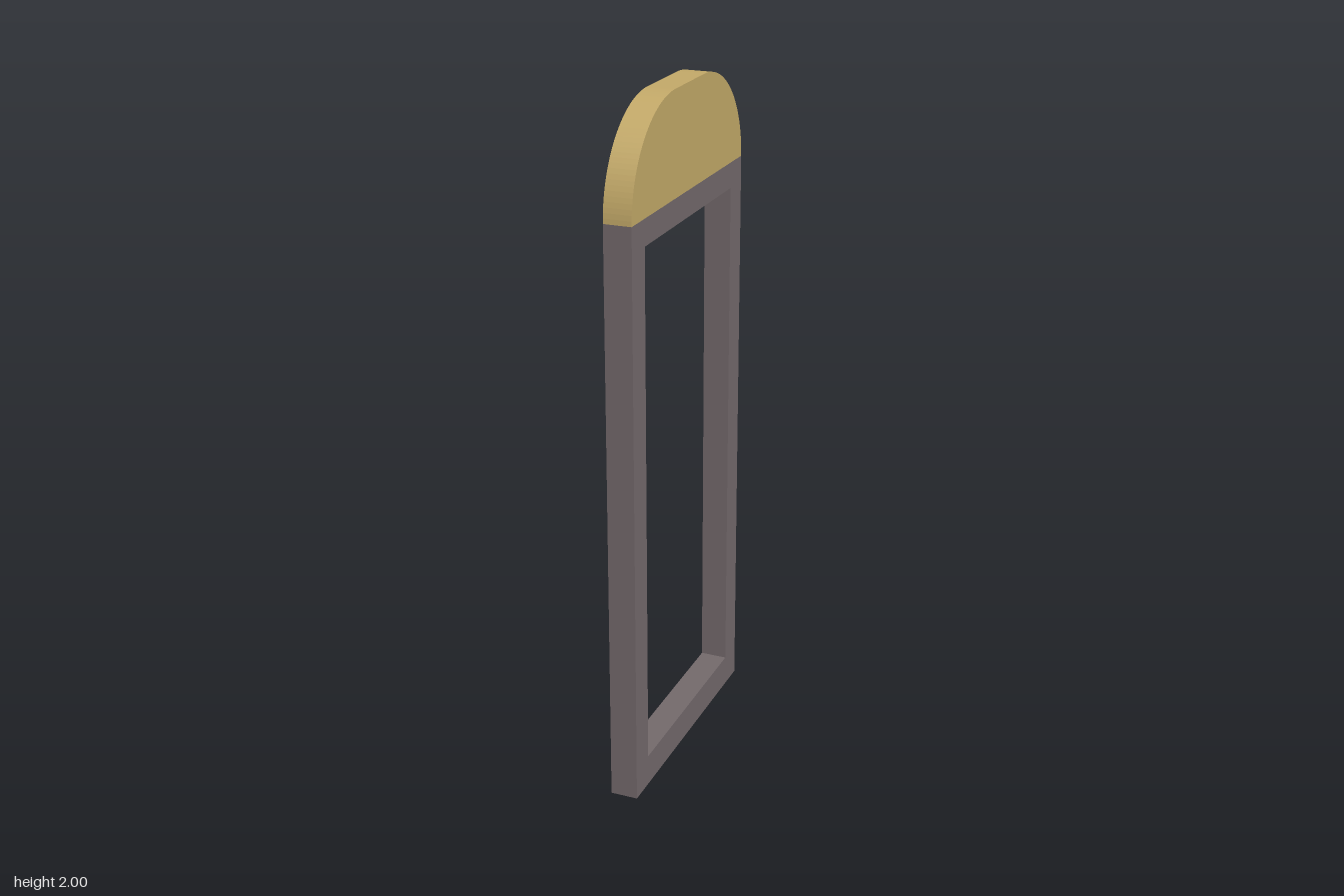
import * as THREE from 'three';

const DEPTH = 0.08;   // thickness along x
const HALF = 0.397;   // half width along z
const INNER = 0.313;  // half width of the opening
const FRAME_TOP = 1.705;
const RADIUS = 0.295; // shoulder radius of the cap

// Extrude a profile drawn in the z-y plane, centred on x = 0
function panel(name, shape, color) {
  const geometry = new THREE.ExtrudeGeometry(shape, { depth: DEPTH, bevelEnabled: false, curveSegments: 16 });
  geometry.translate(0, 0, -DEPTH / 2);
  geometry.rotateY(-Math.PI / 2);
  const mesh = new THREE.Mesh(geometry, new THREE.MeshStandardMaterial({ color, flatShading: true }));
  mesh.name = name;
  return mesh;
}

function rectangle(path, half, bottom, top) {
  path.moveTo(-half, bottom);
  path.lineTo(half, bottom);
  path.lineTo(half, top);
  path.lineTo(-half, top);
  path.closePath();
  return path;
}

export function createModel() {
  const model = new THREE.Group();
  model.name = 'archedFrame';

  // Rectangular frame with a tall opening
  const frame = rectangle(new THREE.Shape(), HALF, 0, FRAME_TOP);
  frame.holes.push(rectangle(new THREE.Path(), INNER, 0.093, 1.63));
  model.add(panel('frame', frame, 0x746a6c));

  // Solid cap with two rounded shoulders and a flat top
  const cap = new THREE.Shape();
  cap.moveTo(-HALF, FRAME_TOP);
  cap.lineTo(HALF, FRAME_TOP);
  cap.absarc(HALF - RADIUS, FRAME_TOP, RADIUS, 0, Math.PI / 2, false);
  cap.absarc(RADIUS - HALF, FRAME_TOP, RADIUS, Math.PI / 2, Math.PI, false);
  model.add(panel('cap', cap, 0xc4aa69));

  return model;
}
